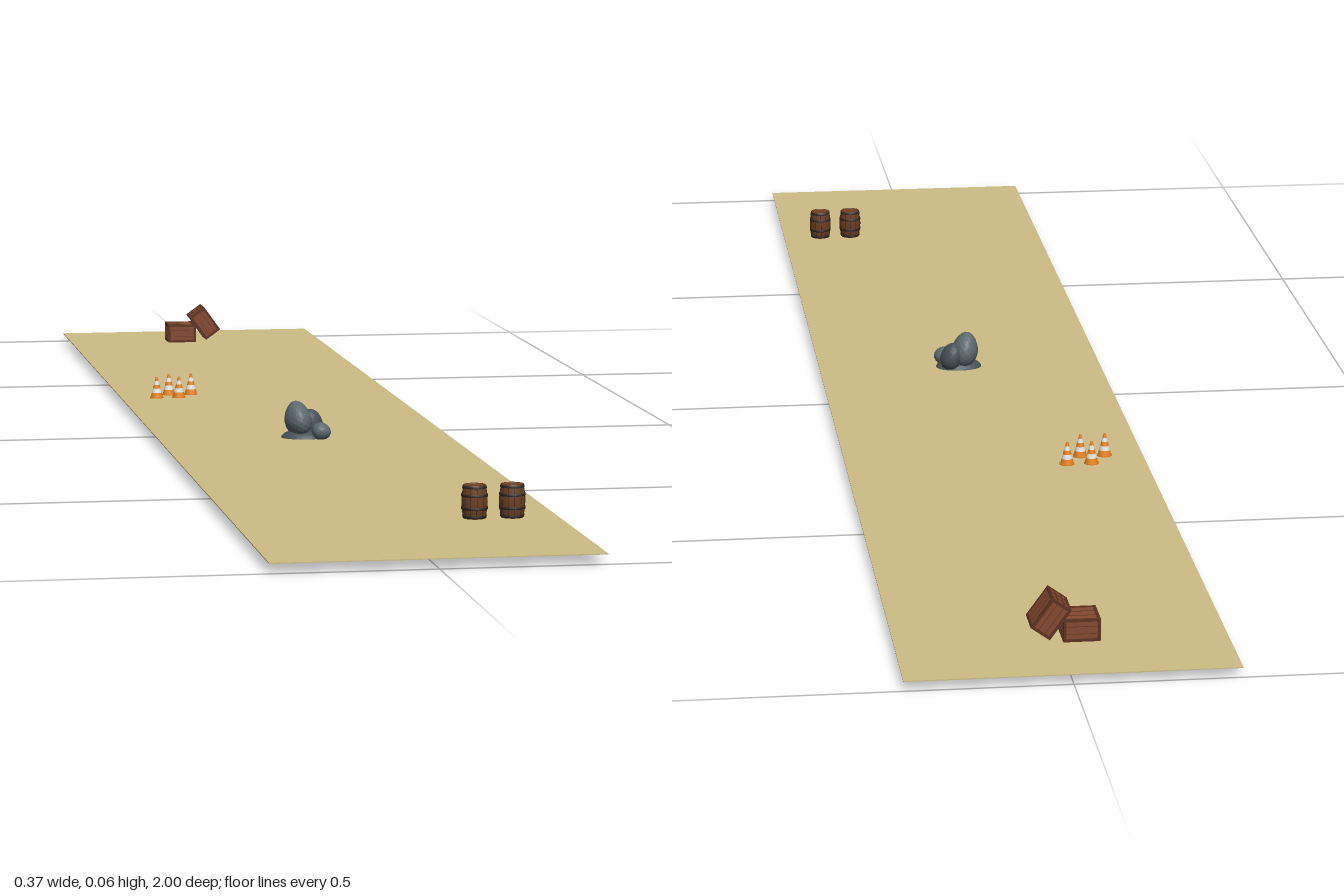
import * as THREE from 'three';

const FLOOR = 0.0122;
const mat = (color, flatShading = false) => new THREE.MeshStandardMaterial({ color, flatShading });
const sand = mat(0xcdbd86), orange = mat(0xe8821e), white = mat(0xe4e4e0);
const wood = mat(0x84492f), frameWood = mat(0x5e3222), stave = mat(0x6b3f22), iron = mat(0x2c2824);
const stone = mat(0x5d6a6f, true), darkStone = mat(0x465055, true);

function add(parent, name, geometry, material, x = 0, y = 0, z = 0) {
  const mesh = new THREE.Mesh(geometry, material);
  mesh.name = name;
  mesh.position.set(x, y, z);
  parent.add(mesh);
  return mesh;
}

function group(parent, name, x, y, z) {
  const g = new THREE.Group();
  g.name = name;
  g.position.set(x, y, z);
  parent.add(g);
  return g;
}

// Striped cone: stacked truncated rings
function addCone(parent, x, z) {
  const cone = group(parent, 'trafficCone', x, FLOOR, z);
  const h = 0.028, r = y => 0.0085 - 0.0072 * (y / h);
  const stops = [0, 0.26, 0.46, 0.64, 0.82, 1];
  for (let i = 0; i < 5; i++) {
    const a = stops[i] * h, b = stops[i + 1] * h;
    add(cone, i % 2 ? 'whiteBand' : 'orangeBand',
      new THREE.CylinderGeometry(r(b), r(a), b - a, 20), i % 2 ? white : orange, 0, (a + b) / 2, 0);
  }
  add(cone, 'coneFoot', new THREE.CylinderGeometry(0.009, 0.0092, 0.0015, 20), orange, 0, 0.00075, 0);
}

// Barrel: bulging staves, recessed lids and iron hoops
function addBarrel(parent, x, z) {
  const barrel = group(parent, 'barrel', x, FLOOR, z);
  const h = 0.038, r = y => 0.0125 + 0.0022 * Math.sin(Math.PI * y / h);
  const profile = [[0, 0.0015], [0.0113, 0.0015], [0.0113, 0]].map(p => new THREE.Vector2(...p));
  for (let i = 0; i <= 8; i++) profile.push(new THREE.Vector2(r(h * i / 8), h * i / 8));
  profile.push(new THREE.Vector2(0.0113, h), new THREE.Vector2(0.0113, h - 0.002), new THREE.Vector2(0, h - 0.002));
  add(barrel, 'staves', new THREE.LatheGeometry(profile, 24), stave);
  for (const y of [0.0022, 0.0115, 0.0265, 0.0358]) {
    const band = [-0.0014, 0.0014].map(d => new THREE.Vector2(r(y + d) + 0.0007, y + d));
    band.unshift(new THREE.Vector2(r(y - 0.0014) - 0.0005, y - 0.0014));
    band.push(new THREE.Vector2(r(y + 0.0014) - 0.0005, y + 0.0014));
    add(barrel, 'hoop', new THREE.LatheGeometry(band, 24), iron);
  }
  // Seams between the staves
  for (let i = 0; i < 12; i++) {
    const a = i * Math.PI / 6;
    const curve = new THREE.CatmullRomCurve3([0.001, 0.01, 0.019, 0.028, 0.037].map(y =>
      new THREE.Vector3(Math.cos(a) * r(y), y, Math.sin(a) * r(y))));
    add(barrel, 'staveSeam', new THREE.TubeGeometry(curve, 8, 0.0003, 4), iron);
  }
}

// Crate: inner boards with beams along all twelve edges and slats
function addCrate(parent, x, y, z, tilt) {
  const crate = group(parent, 'crate', x, y, z);
  crate.rotation.z = tilt;
  const size = [0.041, 0.026, 0.042], t = 0.0032;
  add(crate, 'boards', new THREE.BoxGeometry(...size.map(s => s - 0.0018)), wood);
  for (let axis = 0; axis < 3; axis++) {
    for (const a of [-1, 1]) for (const b of [-1, 1]) {
      const u = (axis + 1) % 3, v = (axis + 2) % 3;
      const dims = [t, t, t], pos = [0, 0, 0];
      dims[axis] = size[axis];
      pos[u] = a * (size[u] - t) / 2;
      pos[v] = b * (size[v] - t) / 2;
      add(crate, 'edgeBeam', new THREE.BoxGeometry(...dims), frameWood, ...pos);
    }
  }
  for (const k of [-1, 1]) {
    add(crate, 'frontBackSlat', new THREE.BoxGeometry(size[0], 0.0006, size[2] - 0.001), frameWood, 0, k * 0.0042, 0);
    add(crate, 'topSlat', new THREE.BoxGeometry(size[0], size[1] - 0.001, 0.0006), frameWood, 0, 0, k * 0.0065);
  }
}

// Boulder: faceted ball with its surface pushed in and out by waves
function addRock(parent, [x, y, z], [rx, ry, rz], tilt, seed, material) {
  const geometry = new THREE.IcosahedronGeometry(1, 3);
  const p = geometry.attributes.position, v = new THREE.Vector3();
  for (let i = 0; i < p.count; i++) {
    v.fromBufferAttribute(p, i);
    const wave = Math.sin(2.3 * v.x + seed) + Math.sin(3.1 * v.y + 2 * seed) + Math.sin(2.7 * v.z + 3 * seed);
    v.multiplyScalar(1 + 0.05 * wave).multiply(new THREE.Vector3(rx, ry, rz));
    p.setXYZ(i, v.x, v.y, v.z);
  }
  geometry.computeVertexNormals();
  add(parent, 'boulder', geometry, material, x, y, z).rotation.z = tilt;
}

export function createModel() {
  const model = new THREE.Group();
  model.name = 'obstacleStrip';

  // Ground strip
  add(model, 'ground', new THREE.BoxGeometry(0.366, 0.0012, 2), sand, 0, FLOOR - 0.0006, 0);

  const cones = group(model, 'cones', 0, 0, 0);
  for (const [x, z] of [[-0.136, -0.277], [-0.106, -0.277], [-0.116, -0.305], [-0.086, -0.305]]) addCone(cones, x, z);

  const barrels = group(model, 'barrels', 0, 0, 0);
  for (const x of [0.088, 0.131]) addBarrel(barrels, x, 0.752);

  // One crate standing, one leaning on it
  const crates = group(model, 'crates', 0, 0, 0);
  addCrate(crates, -0.0215, FLOOR + 0.013, -0.885, 0);
  addCrate(crates, 0.0125, 0.0395, -0.885, -0.95);

  // Rock pile, partly sunk through the ground
  const rocks = group(model, 'rocks', 0, 0, 0);
  addRock(rocks, [-0.007, 0.034, 0.109], [0.0165, 0.024, 0.023], 0.2, 1, stone);
  addRock(rocks, [0.012, 0.028, 0.097], [0.015, 0.017, 0.015], 0.3, 2.2, darkStone);
  addRock(rocks, [0.020, 0.021, 0.126], [0.012, 0.013, 0.013], -0.2, 3.7, stone);
  addRock(rocks, [0.001, 0.0118, 0.11], [0.029, 0.0112, 0.026], 0, 5, darkStone);
  return model;
}
